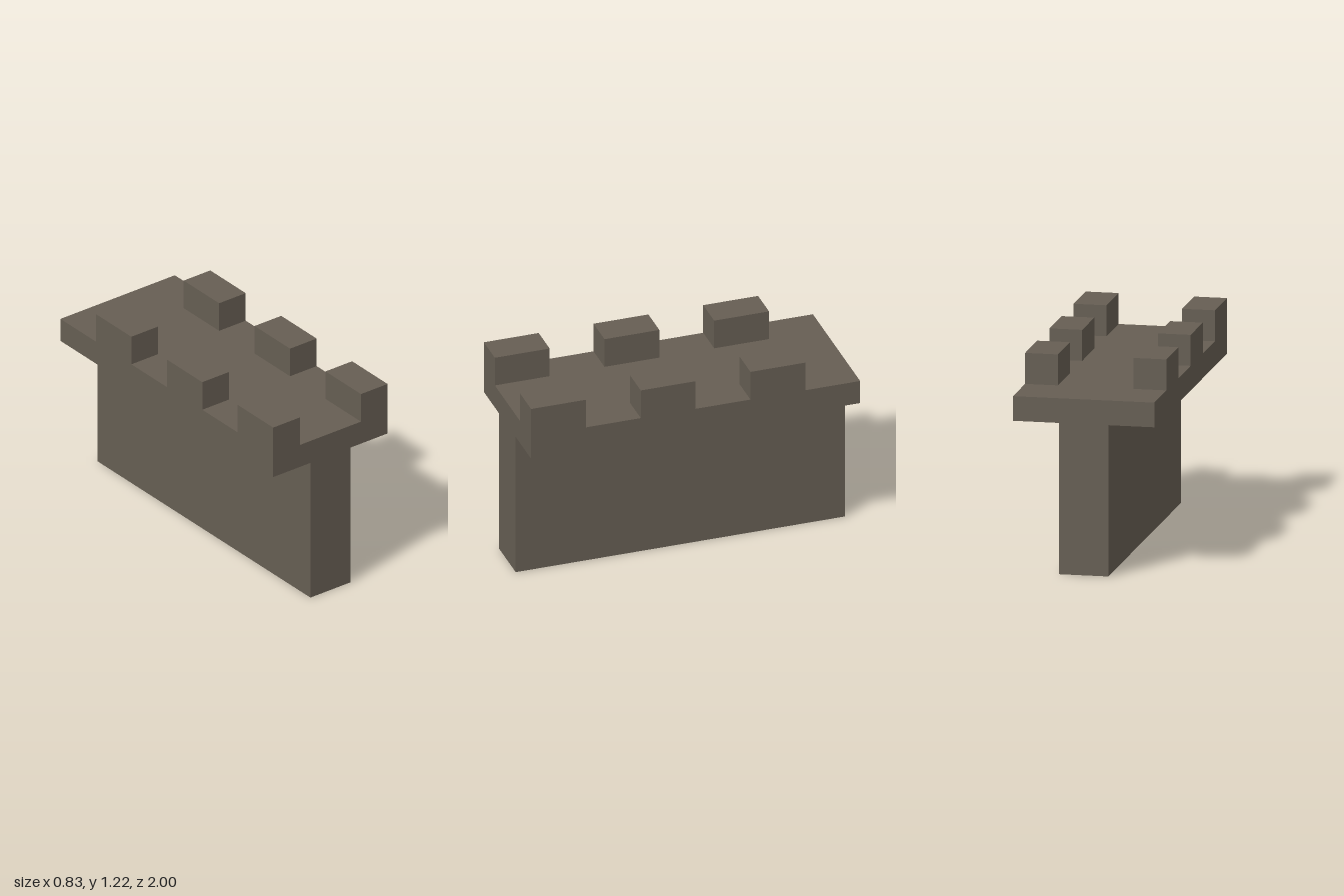
import * as THREE from 'three';

const LENGTH = 2, WALL = 0.145, DECK = 0.415;
const DECK_BOTTOM = 0.89, DECK_TOP = 1.035, TOP = 1.217;

export function createModel() {
  const model = new THREE.Group();
  model.name = 'battlementWall';
  const stone = new THREE.MeshStandardMaterial({ color: 0x665e53 });
  stone.name = 'stone';

  // Wall and overhanging walkway as one T-shaped section
  const section = new THREE.Shape([
    [-WALL, 0], [WALL, 0], [WALL, DECK_BOTTOM], [DECK, DECK_BOTTOM],
    [DECK, DECK_TOP], [-DECK, DECK_TOP], [-DECK, DECK_BOTTOM], [-WALL, DECK_BOTTOM],
  ].map(([x, y]) => new THREE.Vector2(x, y)));
  const wallGeometry = new THREE.ExtrudeGeometry(section, { depth: LENGTH, bevelEnabled: false });
  wallGeometry.translate(0, 0, -LENGTH / 2);
  const wall = new THREE.Mesh(wallGeometry, stone);
  wall.name = 'wallAndWalkway';
  model.add(wall);

  // Three merlons along each edge, one gap apart, starting at the front
  const pitch = LENGTH / 3, depth = pitch / 2, width = 0.193, height = TOP - DECK_TOP;
  const merlonGeometry = new THREE.BoxGeometry(width, height, depth);
  for (const side of [-1, 1]) {
    for (let i = 0; i < 3; i++) {
      const merlon = new THREE.Mesh(merlonGeometry, stone);
      merlon.name = `${side > 0 ? 'left' : 'right'}Merlon${i + 1}`;
      merlon.position.set(
        side * (DECK - width / 2),
        DECK_TOP + height / 2,
        LENGTH / 2 - depth / 2 - i * pitch,
      );
      model.add(merlon);
    }
  }
  return model;
}
